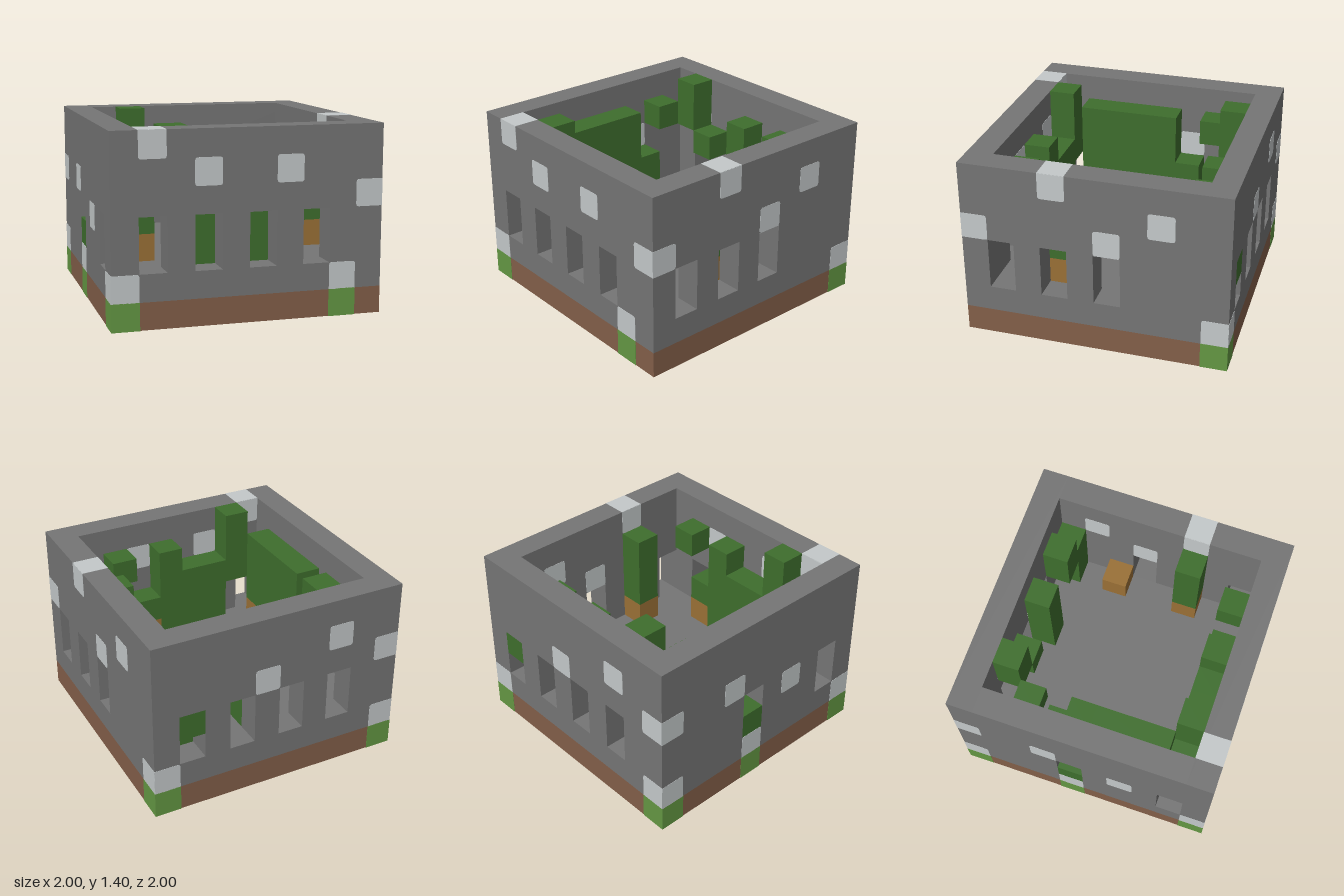
import * as THREE from 'three';

const U = 0.2;                       // one block
const SKIN = 0.004;                  // thickness of painted plates
const at = (n) => -1 + n * U;        // block index to x or z

const paint = (name, color) => {
  const m = new THREE.MeshStandardMaterial({ color });
  m.name = name;
  return m;
};

export function createModel() {
  const stone = paint('stone grey', 0x757575);
  const pale = paint('pale stone', 0xc4c9ca);
  const soil = paint('soil brown', 0x835f49);
  const grass = paint('grass green', 0x649743);
  const leaf = paint('leaf green', 0x3e6e2d);
  const wood = paint('wood orange', 0x9a7036);

  const model = new THREE.Group();
  model.name = 'ruinedTower';
  const add = (name, geometry, material, parent = model) => {
    const mesh = new THREE.Mesh(geometry, material);
    mesh.name = name;
    parent.add(mesh);
    return mesh;
  };
  // Box filling block cells i,k from level j0 up to level j1
  const column = (name, material, i, k, j0, j1, grow = 0, nz = 1) => {
    const g = new THREE.BoxGeometry(U + grow, (j1 - j0) * U + grow, nz * U + grow);
    add(name, g, material).position.set(at(i + 0.5), (j0 + j1) * U / 2, at(k + nz / 2));
  };

  // Soil base and raised stone floor
  add('soilBase', new THREE.BoxGeometry(2, U, 2), soil).position.y = U / 2;
  add('floor', new THREE.BoxGeometry(1.6, U, 1.6), stone).position.y = 1.5 * U;

  // Walls with window openings; lo..hi is the wall's run in blocks
  const wallGeometry = (lo, hi, windows) => {
    const rect = (Type, a, b, c, d) => {
      const p = new Type();
      p.moveTo(a, c).lineTo(b, c).lineTo(b, d).lineTo(a, d).closePath();
      return p;
    };
    const shape = rect(THREE.Shape, at(lo), at(hi), U, 7 * U);
    shape.holes = windows.map((w) => rect(THREE.Path, at(w), at(w + 1), 2 * U, 4 * U));
    return new THREE.ExtrudeGeometry(shape, { depth: U, bevelEnabled: false });
  };
  add('frontWall', wallGeometry(0, 10, [1, 3, 5, 7]), stone).position.z = at(9);
  add('backWall', wallGeometry(0, 10, [2, 4, 6, 8]), stone).position.z = at(0);
  const sideWall = (name, windows, outerX) => {
    const wall = add(name, wallGeometry(1, 9, windows), stone);
    wall.rotation.y = -Math.PI / 2;
    wall.position.x = outerX;
  };
  sideWall('leftWall', [4, 6, 8], 1);
  sideWall('rightWall', [4, 8], -0.8);

  // Grass blocks set into the soil
  const tufts = [[0, 9], [8, 9], [9, 0], [0, 0], [0, 4]];
  for (const [i, k] of tufts) column('grassBlock', grass, i, k, 0, 1, SKIN);

  // Pale stone: plates with softened corners on each visible wall face
  const plateGeometry = (u, j, onGrass) => {
    const h = U / 2, r = 0.022;
    const left = u > 0, right = u < 9, top = j < 6, bottom = !onGrass;
    const s = new THREE.Shape();
    const corner = (x, y, round, dx0, dy0, dx1, dy1) => {
      if (!round) return s.lineTo(x, y);
      s.lineTo(x + dx0 * r, y + dy0 * r);
      s.quadraticCurveTo(x, y, x + dx1 * r, y + dy1 * r);
    };
    s.moveTo(0, -h);
    corner(h, -h, right && bottom, -1, 0, 0, 1);
    corner(h, h, right && top, 0, -1, -1, 0);
    corner(-h, h, left && top, 1, 0, 0, -1);
    corner(-h, -h, left && bottom, 0, 1, 1, 0);
    s.closePath();
    const g = new THREE.ExtrudeGeometry(s, { depth: SKIN, bevelEnabled: false, curveSegments: 4 });
    return g.translate(0, 0, -SKIN / 2);
  };
  const paleBlocks = [
    [1, 6, 9], [3, 5, 9], [6, 5, 9], [9, 4, 9], [0, 1, 9], [8, 1, 9],
    [9, 6, 6], [9, 4, 4], [9, 5, 2], [9, 1, 0],
    [5, 4, 0], [2, 5, 0], [0, 4, 0], [0, 1, 0],
    [0, 4, 3], [0, 3, 6], [0, 1, 4],
  ];
  const isEnd = (n) => n === 0 || n === 9;
  for (const [i, j, k] of paleBlocks) {
    const onGrass = j === 1;
    const y = (j + 0.5) * U;
    const inside = j > 1 && !(isEnd(i) && isEnd(k));
    const faces = (n) => {
      const outer = n === 0 ? 0 : 10;
      return inside ? [outer, n === 0 ? 1 : 9] : [outer];
    };
    if (isEnd(k)) {
      for (const z of faces(k)) {
        add('paleStone', plateGeometry(i, j, onGrass), pale).position.set(at(i + 0.5), y, at(z));
      }
    }
    if (isEnd(i)) {
      for (const x of faces(i)) {
        const p = add('paleStone', plateGeometry(k, j, onGrass), pale);
        p.rotation.y = -Math.PI / 2;
        p.position.set(at(x), y, at(k + 0.5));
      }
    }
  }
  // Pale stone on the wall tops and over one window
  for (const [i, level, k] of [[1, 7, 9], [9, 7, 6], [9, 4, 4]]) {
    add('paleStoneCap', new THREE.BoxGeometry(U, SKIN, U), pale)
      .position.set(at(i + 0.5), level * U, at(k + 0.5));
  }

  // Foliage: i, k, bottom level, top level, run along z
  const foliage = [
    [2, 1, 5, 7], [3, 1, 4, 5], [5, 1, 2, 6], [7, 1, 4, 6], [8, 1, 2, 5],
    [1, 2, 5, 6], [1, 3, 2, 4], [1, 4, 2, 6], [1, 5, 3, 6, 3],
    [1, 8, 4, 5], [2, 8, 4, 7], [3, 8, 2, 5], [4, 8, 2, 5], [5, 8, 2, 6],
    [6, 8, 3, 4], [7, 8, 5, 6], [8, 6, 3, 6],
    [0, 4, 2, 3], [8, 0, 3, 4],
  ];
  for (const [i, k, j0, j1, nz] of foliage) column('foliage', leaf, i, k, j0, j1, 0, nz);

  // Wooden blocks on the floor
  for (const [i, k] of [[6, 8], [1, 7], [8, 6], [8, 3]]) column('woodBlock', wood, i, k, 2, 3);

  return model;
}
